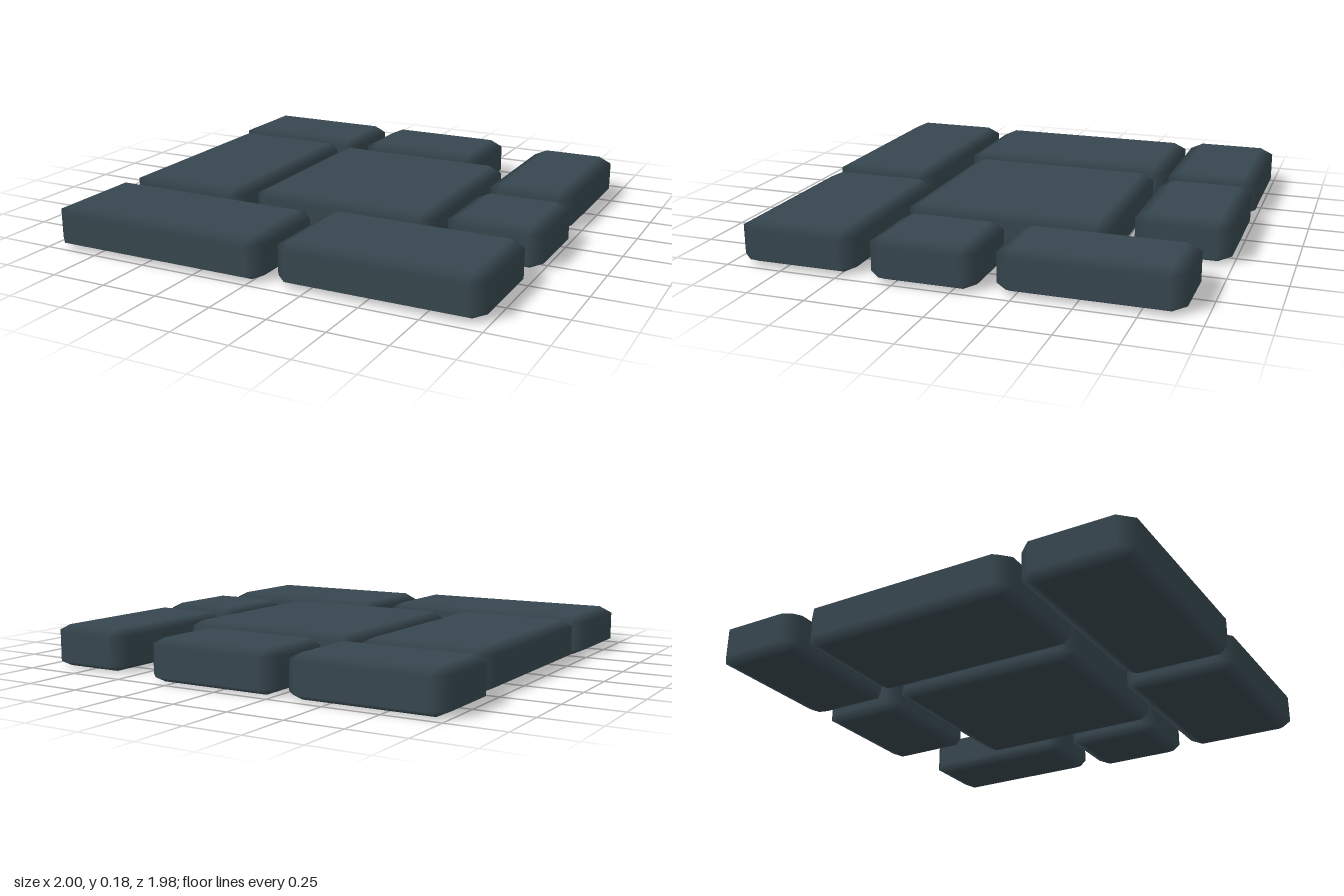
import * as THREE from 'three';
import { ConvexGeometry } from 'three/addons/geometries/ConvexGeometry.js';

const HEIGHT = 0.184;
const BEVEL = [0.06, 0.028, 0.06];

// Bevelled block: six inset faces, hulled together. Each vertex keeps the
// normal of its main face, so faces stay flat and bevels shade softly.
function bevelledBlock(width, height, depth) {
  const half = [width / 2, height / 2, depth / 2];
  const points = [];
  for (let axis = 0; axis < 3; axis++) {
    for (const sx of [-1, 1]) for (const sy of [-1, 1]) for (const sz of [-1, 1]) {
      const s = [sx, sy, sz];
      const p = half.map((h, i) => s[i] * (i === axis ? h : h - BEVEL[i]));
      points.push(new THREE.Vector3(...p));
    }
  }
  const geometry = new ConvexGeometry(points);
  const position = geometry.attributes.position;
  const normal = geometry.attributes.normal;
  for (let i = 0; i < position.count; i++) {
    const p = [position.getX(i), position.getY(i), position.getZ(i)];
    const n = p.map((v, k) => (Math.abs(v) > half[k] - 0.001 ? Math.sign(v) : 0));
    normal.setXYZ(i, ...n);
  }
  return geometry;
}

export function createModel() {
  const group = new THREE.Group();
  group.name = 'pavingStones';
  const slate = new THREE.MeshStandardMaterial({ color: 0x37474f });
  slate.name = 'slate';

  // Name, then left, right, back and front limits in plan
  const stones = [
    ['backCornerStone', -1, -0.31, -0.99, -0.57],
    ['backMiddleStone', -0.265, 0.365, -0.99, -0.57],
    ['tallSideStone', 0.57, 0.96, -0.92, -0.16],
    ['longSideStone', -0.965, -0.37, -0.545, 0.455],
    ['centreStone', -0.34, 0.535, -0.515, 0.4],
    ['smallSideStone', 0.575, 1, -0.095, 0.365],
    ['frontLongStone', -0.975, 0.05, 0.5, 0.99],
    ['frontCornerStone', 0.095, 0.98, 0.44, 0.96],
  ];
  for (const [name, x0, x1, z0, z1] of stones) {
    const stone = new THREE.Mesh(bevelledBlock(x1 - x0, HEIGHT, z1 - z0), slate);
    stone.name = name;
    stone.position.set((x0 + x1) / 2, HEIGHT / 2, (z0 + z1) / 2);
    group.add(stone);
  }
  return group;
}
